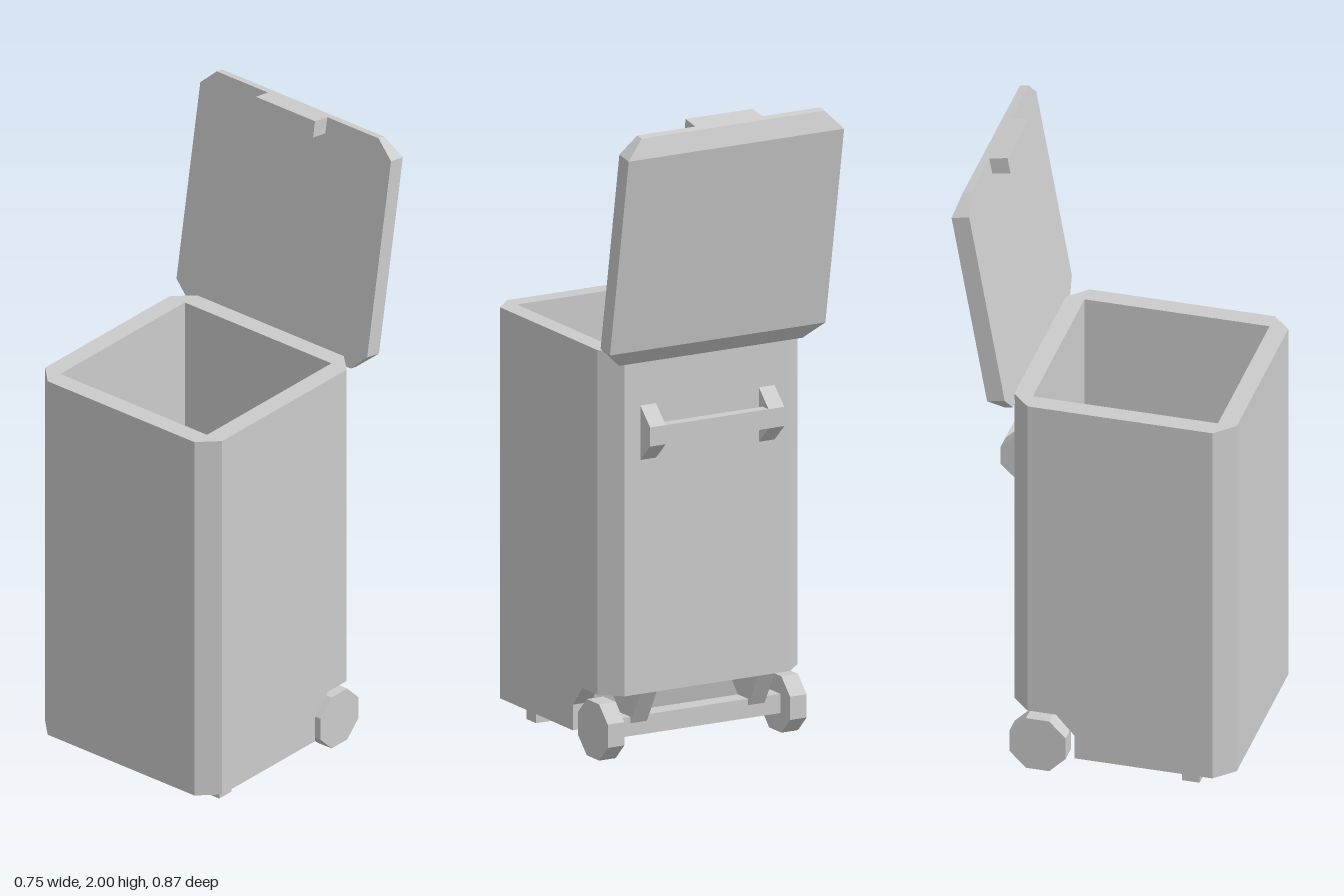
import * as THREE from 'three';
import { ConvexGeometry } from 'three/addons/geometries/ConvexGeometry.js';

const material = new THREE.MeshStandardMaterial({ color: 0xcccccc, flatShading: true });

const points = (list) => list.map(([a, b]) => new THREE.Vector2(a, b));

function add(parent, name, geometry) {
  const mesh = new THREE.Mesh(geometry, material);
  mesh.name = name;
  parent.add(mesh);
  return mesh;
}

function box(x0, x1, y0, y1, z0, z1) {
  return new THREE.BoxGeometry(x1 - x0, y1 - y0, z1 - z0)
    .translate((x0 + x1) / 2, (y0 + y1) / 2, (z0 + z1) / 2);
}

// Plan outline in [x, z], raised from y0 to y1; a hole runs the opposite way round
function raise(outline, y0, y1, hole) {
  const flip = ([x, z]) => [x, -z];
  const shape = new THREE.Shape(points(outline.map(flip)));
  if (hole) shape.holes.push(new THREE.Path(points(hole.map(flip))));
  return new THREE.ExtrudeGeometry(shape, { depth: y1 - y0, bevelEnabled: false })
    .rotateX(-Math.PI / 2).translate(0, y0, 0);
}

// Side profile in [z, y], stretched from x0 to x1
function stretch(profile, x0, x1) {
  return new THREE.ExtrudeGeometry(new THREE.Shape(points(profile)), { depth: x1 - x0, bevelEnabled: false })
    .rotateY(-Math.PI / 2).translate(x1, 0, 0);
}

export function createModel() {
  const bin = new THREE.Group();
  bin.name = 'wheeledBin';

  // Hollow body with cut corners
  add(bin, 'upperShell', raise(
    [[-0.29, -0.262], [0.29, -0.262], [0.35, -0.204], [0.35, 0.375],
      [0.29, 0.434], [-0.29, 0.434], [-0.35, 0.375], [-0.35, -0.204]],
    0.205, 1.28,
    [[-0.29, 0.375], [0.29, 0.375], [0.29, -0.204], [-0.29, -0.204]]));

  // Lower walls, open at the back for the wheels
  add(bin, 'lowerShell', raise(
    [[0.29, -0.057], [0.35, -0.057], [0.35, 0.375], [0.29, 0.434], [-0.29, 0.434],
      [-0.35, 0.375], [-0.35, -0.057], [-0.29, -0.057], [-0.29, 0.375], [0.29, 0.375]],
    0.06, 0.205));

  // Floor, stepped up over the axle
  add(bin, 'floor', stretch(
    [[0.375, 0.06], [0.375, 0.14], [-0.033, 0.14], [-0.09, 0.24], [-0.204, 0.24],
      [-0.262, 0.205], [-0.085, 0.178], [-0.057, 0.06]], -0.29, 0.29));

  // Lid: the inner face is a cut-corner plate, the outer face slopes at both ends
  const lid = new THREE.Group();
  lid.name = 'lid';
  const corners = [];
  for (const s of [-1, 1]) {
    for (const [x, y, t] of [[0.32, 0, 0.026], [0.377, 0.055, 0.056], [0.377, 0.695, 0.056], [0.32, 0.75, 0.026]]) {
      corners.push(new THREE.Vector3(s * x, y, 0), new THREE.Vector3(s * x, y, -t));
    }
  }
  add(lid, 'lidPanel', new ConvexGeometry(corners));
  add(lid, 'lidGrip', box(-0.117, 0.117, 0.697, 0.75, 0, 0.058));
  lid.position.set(0, 1.25, -0.258);
  lid.rotation.x = -Math.PI / 18;
  bin.add(lid);

  // Rear handle bar and axle
  add(bin, 'handleBar', box(-0.185, 0.185, 0.99, 1.05, -0.32, -0.285));
  add(bin, 'axle', box(-0.29, 0.29, 0.06, 0.12, -0.203, -0.143));

  // Paired parts
  for (const s of [-1, 1]) {
    const side = s > 0 ? 'left' : 'right';
    const pair = (a, b) => (s > 0 ? [a, b] : [-b, -a]);

    add(bin, side + 'WheelArch', stretch(
      [[-0.057, 0.14], [-0.057, 0.205], [-0.115, 0.205]], ...pair(0.29, 0.35)));
    add(bin, side + 'HandleArm', stretch(
      [[-0.262, 1.105], [-0.32, 1.05], [-0.32, 0.99], [-0.262, 0.935]], ...pair(0.18, 0.235)));
    add(bin, side + 'AxleBracket', stretch(
      [[-0.085, 0.18], [-0.262, 0.205], [-0.203, 0.1], [-0.203, 0.06], [-0.143, 0.06], [-0.143, 0.12]],
      ...pair(0.177, 0.235)));

    const wheel = add(bin, side + 'Wheel',
      new THREE.CylinderGeometry(0.095, 0.095, 0.058, 8)
        .rotateY(Math.PI / 8).rotateZ(Math.PI / 2));
    wheel.position.set(s * 0.319, 0.088, -0.173);

    const [x0, x1] = pair(0.235, 0.29);
    add(bin, side + 'Foot', box(x0, x1, 0, 0.06, 0.262, 0.318));
  }
  return bin;
}
